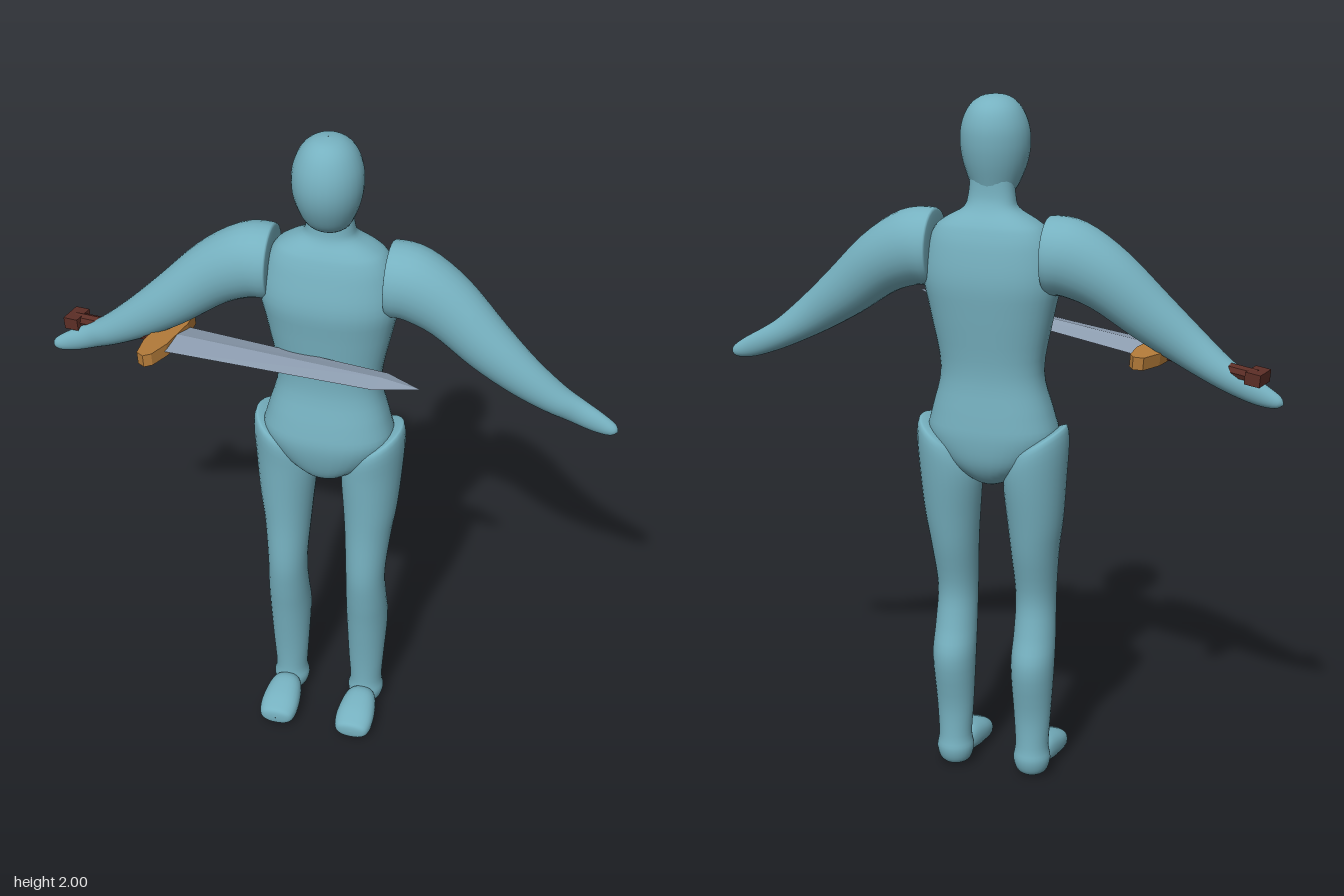
import * as THREE from 'three';

// Loft through stations [x, y, z, halfWidth, halfDepth, tilt in degrees].
// Each ring spans (cos tilt, sin tilt, 0) and the z axis; side -1 mirrors it in x.
function loft(stations, { side = 1, sides = 28, sub = 4, power = 1 } = {}) {
  const rings = [];
  const at = (i) => stations[Math.min(Math.max(i, 0), stations.length - 1)];
  for (let i = 0; i < stations.length - 1; i++) {
    for (let s = 0; s < sub; s++) {
      const t = s / sub;
      rings.push(at(i).map((p1, k) => {
        const p0 = at(i - 1)[k], p2 = at(i + 1)[k], p3 = at(i + 2)[k];
        return p1 + 0.5 * t * (p2 - p0 + t * (2 * p0 - 5 * p1 + 4 * p2 - p3 + t * (3 * (p1 - p2) + p3 - p0)));
      }));
    }
  }
  rings.push(at(stations.length - 1));
  const soft = (v) => Math.sign(v) * Math.abs(v) ** power;
  const pos = [], idx = [];
  rings.forEach(([x, y, z, a, b, tilt], i) => {
    const r = THREE.MathUtils.degToRad(tilt);
    for (let j = 0; j < sides; j++) {
      const f = (j / sides) * Math.PI * 2;
      const u = soft(Math.cos(f)) * Math.max(a, 0.0005), v = soft(Math.sin(f)) * Math.max(b, 0.0005);
      pos.push(side * (x + u * Math.cos(r)), y + u * Math.sin(r), z + v);
      if (i === rings.length - 1) continue;
      const p = i * sides + j, q = i * sides + (j + 1) % sides;
      if (side > 0) idx.push(p, q, p + sides, q, q + sides, p + sides);
      else idx.push(p, p + sides, q, q, p + sides, q + sides);
    }
  });
  const g = new THREE.BufferGeometry();
  g.setAttribute('position', new THREE.Float32BufferAttribute(pos, 3));
  g.setIndex(idx);
  g.computeVertexNormals();
  return g;
}

function flat(geometry) {
  const g = geometry.index ? geometry.toNonIndexed() : geometry;
  g.computeVertexNormals();
  return g;
}

const HEAD = [
  [0, 2, -0.033, 0, 0, 0], [0, 1.992, -0.034, 0.04, 0.042, 0], [0, 1.965, -0.036, 0.072, 0.075, 0],
  [0, 1.92, -0.034, 0.092, 0.094, 0], [0, 1.87, -0.031, 0.097, 0.098, 0], [0, 1.82, -0.031, 0.09, 0.09, 0],
  [0, 1.77, -0.035, 0.073, 0.072, 0], [0, 1.74, -0.042, 0.057, 0.055, 0], [0, 1.725, -0.047, 0.035, 0.035, 0],
  [0, 1.722, -0.047, 0, 0, 0],
];
const TORSO = [
  [0, 1.79, -0.058, 0.06, 0.045, 0], [0, 1.73, -0.06, 0.066, 0.046, 0], [0, 1.695, -0.064, 0.078, 0.055, 0],
  [0, 1.665, -0.065, 0.128, 0.075, 0], [0, 1.64, -0.065, 0.158, 0.088, 0], [0, 1.59, -0.064, 0.18, 0.103, 0],
  [0, 1.5, -0.06, 0.195, 0.117, 0], [0, 1.4, -0.06, 0.176, 0.108, 0], [0, 1.24, -0.057, 0.148, 0.093, 0],
  [0, 1.12, -0.05, 0.175, 0.11, 0], [0, 1.05, -0.047, 0.187, 0.118, 0], [0, 0.98, -0.048, 0.14, 0.108, 0],
  [0, 0.93, -0.045, 0.075, 0.083, 0], [0, 0.905, -0.045, 0.03, 0.045, 0], [0, 0.9, -0.045, 0, 0, 0],
];
const ARM = [
  [0.162, 1.575, -0.066, 0, 0, 90], [0.163, 1.575, -0.066, 0.09, 0.08, 90], [0.175, 1.575, -0.066, 0.109, 0.096, 88],
  [0.24, 1.567, -0.064, 0.107, 0.095, 75], [0.335, 1.515, -0.056, 0.092, 0.083, 58], [0.45, 1.42, -0.038, 0.076, 0.069, 52],
  [0.55, 1.345, -0.029, 0.06, 0.054, 53], [0.64, 1.285, -0.032, 0.045, 0.043, 55], [0.7, 1.253, -0.036, 0.038, 0.031, 58],
  [0.76, 1.226, -0.034, 0.031, 0.023, 62], [0.805, 1.209, -0.032, 0.018, 0.016, 65], [0.82, 1.204, -0.032, 0, 0, 65],
];
const LEG = [
  [0.132, 1.042, -0.055, 0, 0, 33], [0.133, 1.04, -0.055, 0.075, 0.08, 33], [0.136, 1.02, -0.055, 0.098, 0.102, 32],
  [0.127, 0.93, -0.055, 0.092, 0.098, 12], [0.125, 0.8, -0.047, 0.08, 0.086, 0], [0.122, 0.7, -0.038, 0.069, 0.077, 0],
  [0.12, 0.56, -0.02, 0.059, 0.065, 0], [0.121, 0.45, -0.033, 0.061, 0.067, 0], [0.121, 0.35, -0.053, 0.063, 0.072, 0],
  [0.12, 0.2, -0.05, 0.055, 0.051, 0], [0.12, 0.1, -0.052, 0.049, 0.048, 0], [0.12, 0.055, -0.052, 0.055, 0.054, 0],
  [0.12, 0.018, -0.052, 0.044, 0.043, 0], [0.12, 0.004, -0.052, 0.02, 0.02, 0], [0.12, 0.003, -0.052, 0, 0, 0],
];
// Forefoot, lofted downward and then laid forward
const FOOT = [
  [0.12, 0.02, 0.05, 0, 0, 0], [0.12, 0.012, 0.05, 0.032, 0.03, 0], [0.12, -0.02, 0.051, 0.049, 0.045, 0],
  [0.12, -0.08, 0.045, 0.058, 0.042, 0], [0.12, -0.125, 0.037, 0.055, 0.034, 0],
  [0.12, -0.146, 0.036, 0.04, 0.023, 0], [0.12, -0.15, 0.036, 0, 0, 0],
];

function createSword(steel, brass, leather) {
  const sword = new THREE.Group();
  sword.name = 'sword';
  const add = (name, geometry, material) => {
    const m = new THREE.Mesh(flat(geometry), material);
    m.name = name;
    sword.add(m);
    return m;
  };
  // Diamond-section blade along +x
  add('blade', loft([[0, 0, 0, 0, 0, 90], [0.01, 0, 0, 0.017, 0.072, 90], [0.67, 0, 0, 0.013, 0.046, 90],
    [0.786, 0, 0, 0, 0, 90]], { sides: 4, sub: 1 }), steel);
  // Crossguard with tapered ends
  const s = new THREE.Shape([[-0.037, -0.06], [-0.02, -0.125], [0.006, -0.137], [0.024, -0.12], [0.037, -0.06],
    [0.037, 0.06], [0.024, 0.12], [0.006, 0.137], [-0.02, 0.125], [-0.037, 0.06]].map((p) => new THREE.Vector2(...p)));
  const guard = new THREE.ExtrudeGeometry(s, { depth: 0.036, bevelEnabled: false });
  guard.translate(0, 0, -0.018).rotateX(-Math.PI / 2);
  add('crossguard', guard, brass);
  add('grip', new THREE.CylinderGeometry(0.02, 0.02, 0.28, 8).rotateZ(Math.PI / 2).translate(-0.16, 0, 0), leather);
  add('pommel', new THREE.BoxGeometry(0.045, 0.035, 0.068).translate(-0.3, 0, 0), leather);

  // Point the sword across the body
  const x = new THREE.Vector3(1.055, 0.105, 0.225).normalize();
  const y = new THREE.Vector3(-0.21, 0.03, 0.97).cross(x).normalize();
  const z = x.clone().cross(y);
  sword.quaternion.setFromRotationMatrix(new THREE.Matrix4().makeBasis(x, y, z));
  sword.position.set(-0.46, 1.314, 0.002);
  return sword;
}

export function createModel() {
  const mat = (name, color) => Object.assign(new THREE.MeshStandardMaterial({ color }), { name });
  const skin = mat('teal body', 0x76b1c0);
  const steel = mat('blade steel', 0x8d9db0);
  const brass = mat('guard bronze', 0xb57c3a);
  const leather = mat('grip brown', 0x5c2e26);

  const model = new THREE.Group();
  model.name = 'swordFigure';
  const add = (name, geometry) => {
    const m = new THREE.Mesh(geometry, skin);
    m.name = name;
    model.add(m);
  };
  add('head', loft(HEAD));
  add('torso', loft(TORSO, { sides: 40, power: 0.86 }));

  // Limbs in mirrored pairs
  for (const [prefix, side] of [['left', 1], ['right', -1]]) {
    add(prefix + 'Arm', loft(ARM, { side }));
    add(prefix + 'Leg', loft(LEG, { side }));
    add(prefix + 'Foot', loft(FOOT, { side, power: 0.85 }).rotateX(-Math.PI / 2));
  }
  model.add(createSword(steel, brass, leather));
  return model;
}
